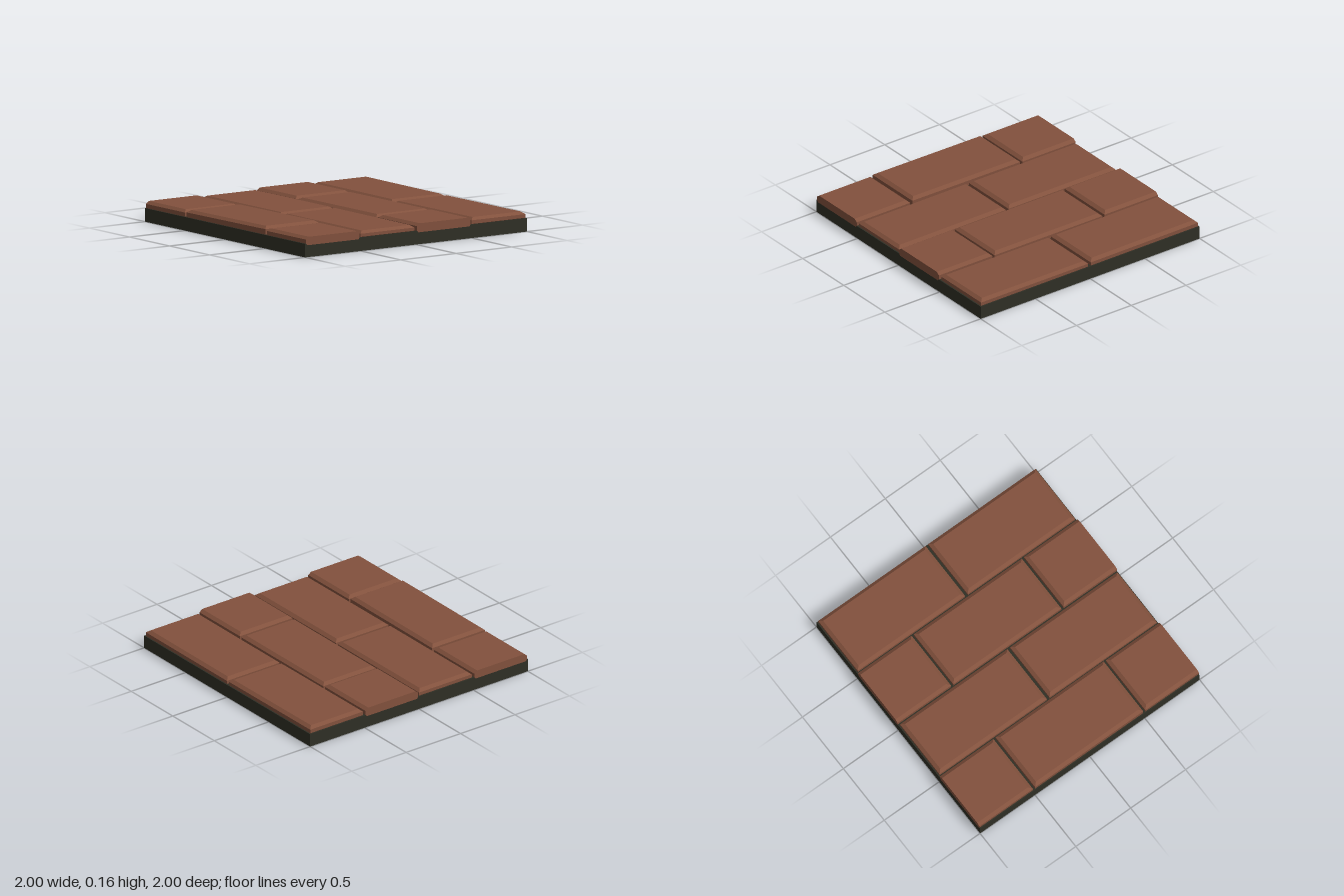
import * as THREE from 'three';

const brickMaterial = new THREE.MeshStandardMaterial({ color: 0x82513d });
brickMaterial.name = 'terracotta';
const mortarMaterial = new THREE.MeshStandardMaterial({ color: 0x2f2f25 });
mortarMaterial.name = 'dark mortar';

const BOTTOM = 0.088;
const BEVEL = 0.026;

// Bevelled brick stacked from four rectangular rings; cut ends stay flat.
function brickGeometry(x0, x1, z0, z1, topLeft, topRight) {
  const cut0 = x0 <= -1, cut1 = x1 >= 1;
  const ring = (inset, y0, y1) => {
    const a = x0 + (cut0 ? 0 : inset), b = x1 - (cut1 ? 0 : inset);
    return [[a, y0, z1 - inset], [b, y1, z1 - inset], [b, y1, z0 + inset], [a, y0, z0 + inset]];
  };
  const rings = [
    ring(0.012, BOTTOM, BOTTOM),
    ring(0, BOTTOM + 0.014, BOTTOM + 0.014),
    ring(0, topLeft - 0.019, topRight - 0.019),
    ring(BEVEL, topLeft, topRight),
  ];
  const points = [];
  const quad = (a, b, c, d) => points.push(...a, ...b, ...c, ...a, ...c, ...d);
  for (let r = 0; r < 3; r++) {
    for (let i = 0; i < 4; i++) {
      const j = (i + 1) % 4;
      quad(rings[r][i], rings[r][j], rings[r + 1][j], rings[r + 1][i]);
    }
  }
  quad(...rings[3]);
  quad(...[...rings[0]].reverse());
  const geometry = new THREE.BufferGeometry();
  geometry.setAttribute('position', new THREE.Float32BufferAttribute(points, 3));
  geometry.computeVertexNormals();
  return geometry;
}

export function createModel() {
  const group = new THREE.Group();
  group.name = 'brickFloorTile';

  // Mortar slab, a hair narrower so the cut brick ends show
  const slab = new THREE.Mesh(new THREE.BoxGeometry(1.998, 0.1, 2), mortarMaterial);
  slab.name = 'mortarSlab';
  slab.position.y = 0.05;
  group.add(slab);

  // Running bond: whole bricks alternate with a row cut at both ends
  const whole = [[-0.99, -0.012], [0.012, 0.99]];
  const offset = [[-1, -0.512], [-0.492, 0.492], [0.512, 1]];
  // Each row lists the left and right top heights of its bricks
  const rows = [
    { z: -0.75, spans: whole, tops: [[0.15, 0.147], [0.145, 0.148]] },
    { z: -0.25, spans: offset, tops: [[0.154, 0.154], [0.15, 0.152], [0.154, 0.154]] },
    { z: 0.25, spans: whole, tops: [[0.146, 0.147], [0.146, 0.144]] },
    { z: 0.75, spans: offset, tops: [[0.15, 0.15], [0.154, 0.16], [0.15, 0.15]] },
  ];
  rows.forEach(({ z, spans, tops }, r) => {
    const row = new THREE.Group();
    row.name = `brickRow${r + 1}`;
    spans.forEach(([x0, x1], i) => {
      const brick = new THREE.Mesh(
        brickGeometry(x0, x1, z - 0.242, z + 0.242, ...tops[i]), brickMaterial);
      brick.name = `brick${i + 1}`;
      row.add(brick);
    });
    group.add(row);
  });
  return group;
}
